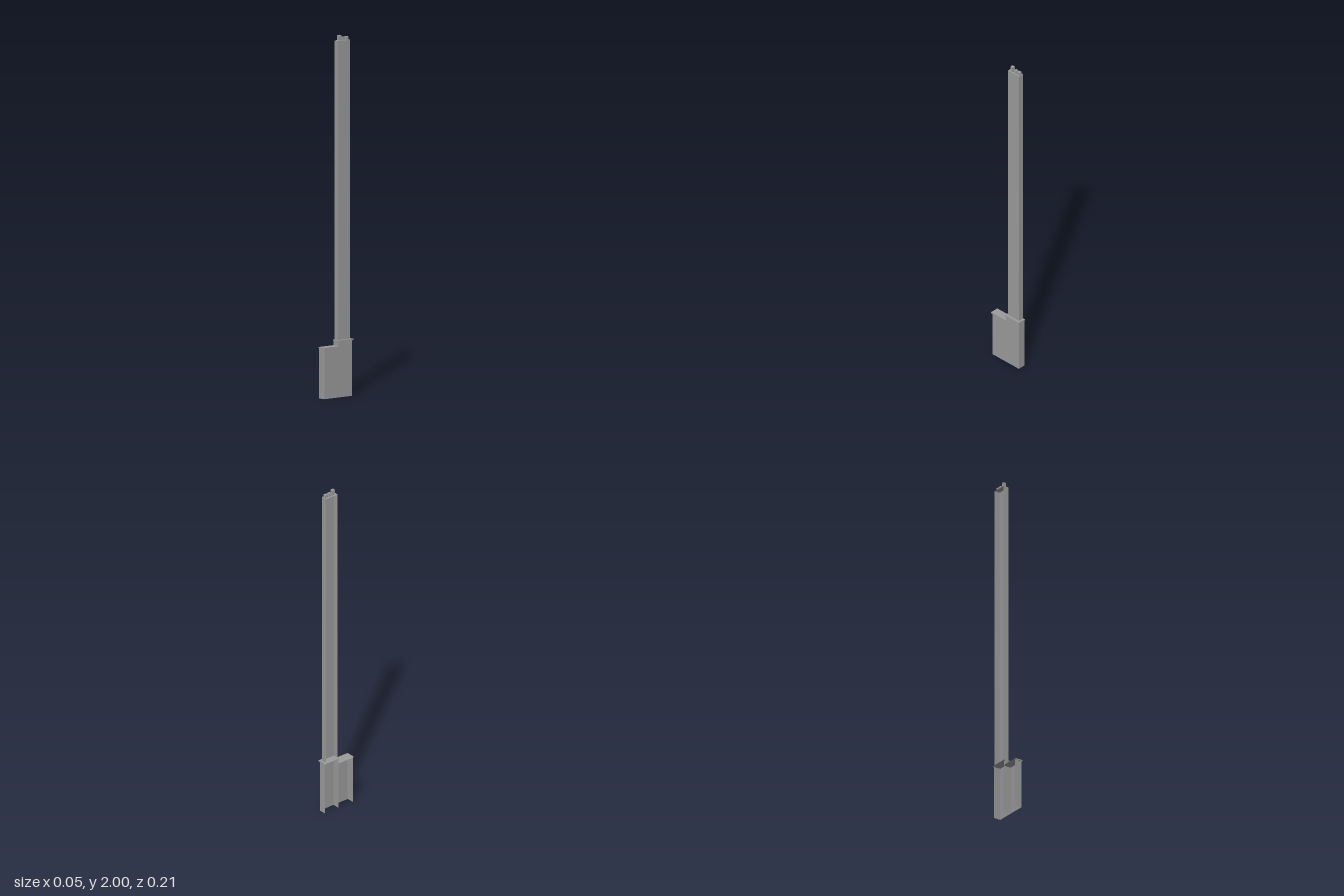
import * as THREE from 'three';

const material = new THREE.MeshStandardMaterial({ color: 0x9c9c9c, flatShading: true, side: THREE.DoubleSide });

// BoxGeometry face order, used to leave faces out
const FACE = { right: 0, wall: 1, top: 2, bottom: 3, front: 4, back: 5 };
const WALL_X = -0.025; // plane of the open side that sits against a wall

// Thin shell given by its limits, without the listed faces
function shell(name, [x0, x1], [y0, y1], [z0, z1], open = []) {
  const geometry = new THREE.BoxGeometry(x1 - x0, y1 - y0, z1 - z0);
  const index = Array.from(geometry.index.array);
  const skip = open.map((f) => FACE[f]);
  geometry.setIndex(index.filter((_, i) => !skip.includes(Math.floor(i / 6))));
  geometry.clearGroups();
  geometry.translate((x0 + x1) / 2, (y0 + y1) / 2, (z0 + z1) / 2);
  const mesh = new THREE.Mesh(geometry, material);
  mesh.name = name;
  return mesh;
}

export function createModel() {
  const group = new THREE.Group();
  group.name = 'chimney';

  // Two base blocks, open at the wall side and below, with slightly wider caps
  group.add(
    shell('tallBase', [WALL_X, 0.018], [0, 0.308], [-0.1, -0.002], ['wall', 'bottom', 'top']),
    shell('tallBaseCap', [WALL_X, 0.022], [0.308, 0.316], [-0.105, 0.001], ['wall']),
    shell('lowBase', [WALL_X, 0.018], [0, 0.278], [-0.002, 0.1], ['wall', 'bottom', 'top', 'back']),
    shell('lowBaseCap', [WALL_X, 0.024], [0.278, 0.285], [-0.003, 0.104], ['wall'])
  );

  // Long stack, open at the wall side
  group.add(shell('stack', [WALL_X, 0.008], [0.316, 1.97], [-0.092, -0.008], ['wall', 'bottom']));

  // Square chimney pots, the front one taller
  [[-0.029, 2], [-0.055, 1.988], [-0.08, 1.988]].forEach(([z, top], i) => {
    group.add(shell(`pot${i + 1}`, [-0.016, 0.001], [1.97, top], [z - 0.0085, z + 0.0085], ['bottom']));
  });

  return group;
}
